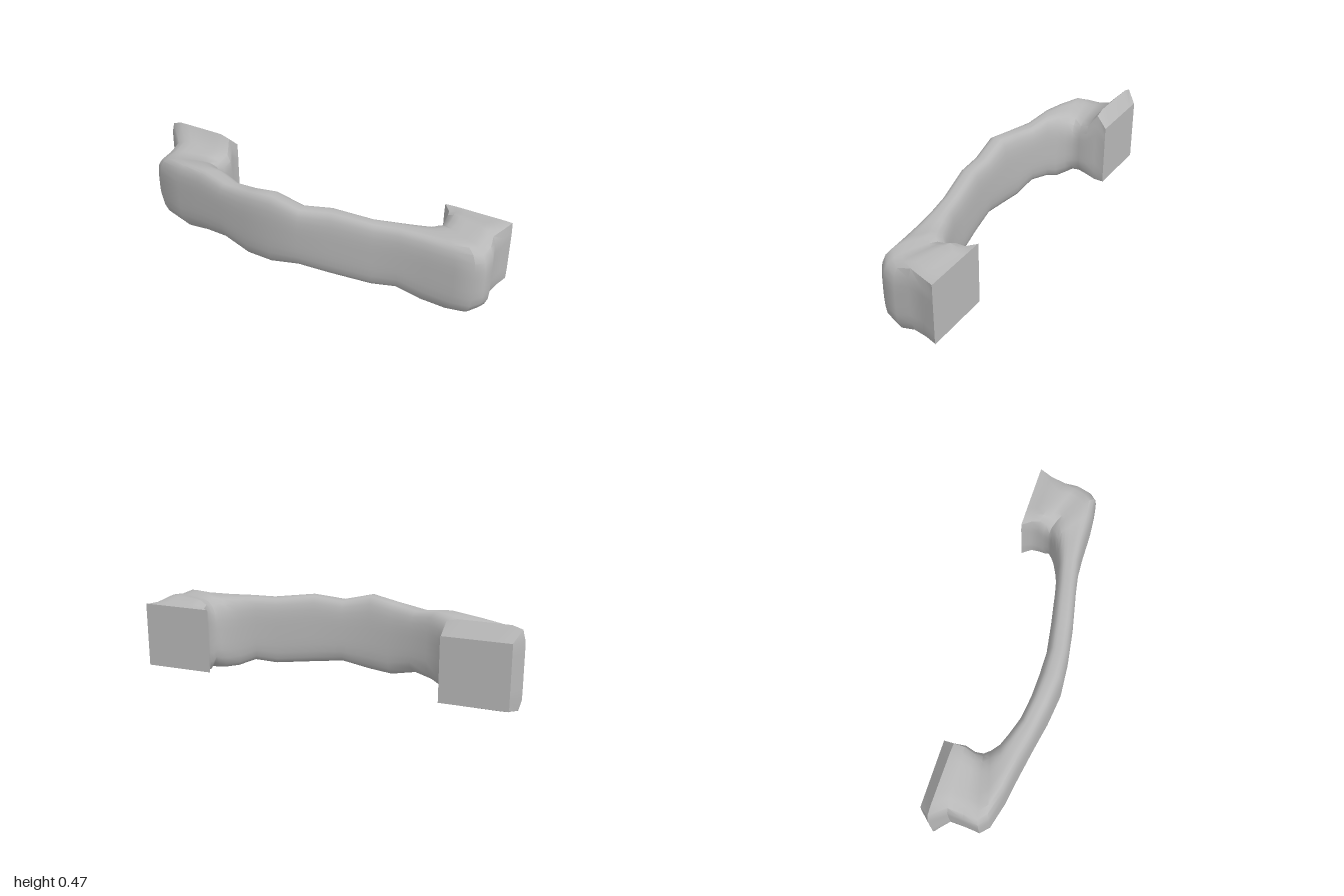
import * as THREE from 'three';
import { toCreasedNormals } from 'three/addons/utils/BufferGeometryUtils.js';

const SIDES = 32;

// Loft along the handle. Each section: outer x, z, inner x, z, bottom, top, squareness.
function loft(sections) {
  const pos = [], idx = [];
  for (const [ox, oz, ix, iz, y0, y1, p] of sections) {
    for (let j = 0; j < SIDES; j++) {
      const a = (j / SIDES) * Math.PI * 2, c = Math.cos(a), s = Math.sin(a);
      const r = Math.pow(Math.abs(c) ** p + Math.abs(s) ** p, -1 / p);
      const u = c * r, v = s * r;
      pos.push(
        (ox + ix) / 2 + (u * (ox - ix)) / 2,
        (y0 + y1) / 2 + (v * (y1 - y0)) / 2,
        (oz + iz) / 2 + (u * (oz - iz)) / 2
      );
    }
  }
  for (let i = 0; i < sections.length - 1; i++) {
    for (let j = 0; j < SIDES; j++) {
      const k = (j + 1) % SIDES;
      const a = i * SIDES + j, b = i * SIDES + k;
      idx.push(a, a + SIDES, b, b, a + SIDES, b + SIDES);
    }
  }
  const geo = new THREE.BufferGeometry();
  geo.setAttribute('position', new THREE.Float32BufferAttribute(pos, 3));
  geo.setIndex(idx);
  return toCreasedNormals(geo, 0.75);
}

export function createModel() {
  const group = new THREE.Group();
  const grey = new THREE.MeshStandardMaterial({ color: 0xb8b8b8 });
  grey.name = 'plain grey';

  const add = (name, geo) => {
    const mesh = new THREE.Mesh(geo, grey);
    mesh.name = name;
    group.add(mesh);
    return mesh;
  };

  // Right foot, flaring just in front of the wall, then turning into the bar
  const rightFoot = [
    [-0.95, -0.235, -0.60, -0.235, 0.06, 0.405, 60],
    [-1.00, -0.18, -0.60, -0.175, 0.035, 0.48, 9],
    [-0.93, -0.11, -0.58, -0.13, 0.06, 0.41, 6],
    [-0.935, -0.03, -0.59, -0.08, 0.06, 0.39, 5],
    [-0.945, 0.05, -0.58, -0.04, 0.05, 0.39, 4],
    [-0.90, 0.09, -0.56, -0.01, 0.03, 0.41, 4],
    [-0.76, 0.125, -0.52, 0.025, 0.02, 0.42, 4],
  ];
  // Bowed bar
  const bar = [
    [-0.62, 0.15, -0.46, 0.05, 0.05, 0.43, 3.6],
    [-0.46, 0.18, -0.36, 0.08, 0.07, 0.41, 3.4],
    [-0.29, 0.21, -0.24, 0.097, 0.035, 0.43, 3.4],
    [-0.13, 0.23, -0.13, 0.103, 0.045, 0.455, 3.4],
    [0.03, 0.217, 0.02, 0.1, 0.075, 0.415, 3.4],
    [0.20, 0.19, 0.17, 0.077, 0.06, 0.435, 3.4],
    [0.42, 0.143, 0.37, 0.04, 0.042, 0.41, 3.6],
    [0.55, 0.12, 0.48, 0.015, 0.055, 0.413, 3.6],
  ];
  // Left foot
  const leftFoot = [
    [0.69, 0.11, 0.56, -0.015, 0.018, 0.41, 4],
    [0.84, 0.108, 0.62, -0.045, 0.005, 0.41, 4],
    [0.94, 0.1, 0.65, -0.07, 0.01, 0.42, 4],
    [0.98, 0.06, 0.665, -0.09, 0.025, 0.405, 4],
    [0.99, -0.01, 0.67, -0.12, 0.005, 0.415, 4.5],
    [0.97, -0.08, 0.675, -0.15, 0.02, 0.425, 6],
    [0.985, -0.165, 0.67, -0.19, 0.04, 0.41, 9],
    [1.00, -0.235, 0.64, -0.235, 0.06, 0.405, 60],
  ];
  add('handle', loft([...rightFoot, ...bar, ...leftFoot]));

  // Flat mounting faces at the back of the feet
  for (const [name, x0, x1] of [['rightMountFace', -0.95, -0.60], ['leftMountFace', 0.64, 1.0]]) {
    const face = add(name, new THREE.PlaneGeometry(x1 - x0, 0.345));
    face.rotation.y = Math.PI;
    face.position.set((x0 + x1) / 2, 0.2325, -0.235);
  }
  return group;
}
